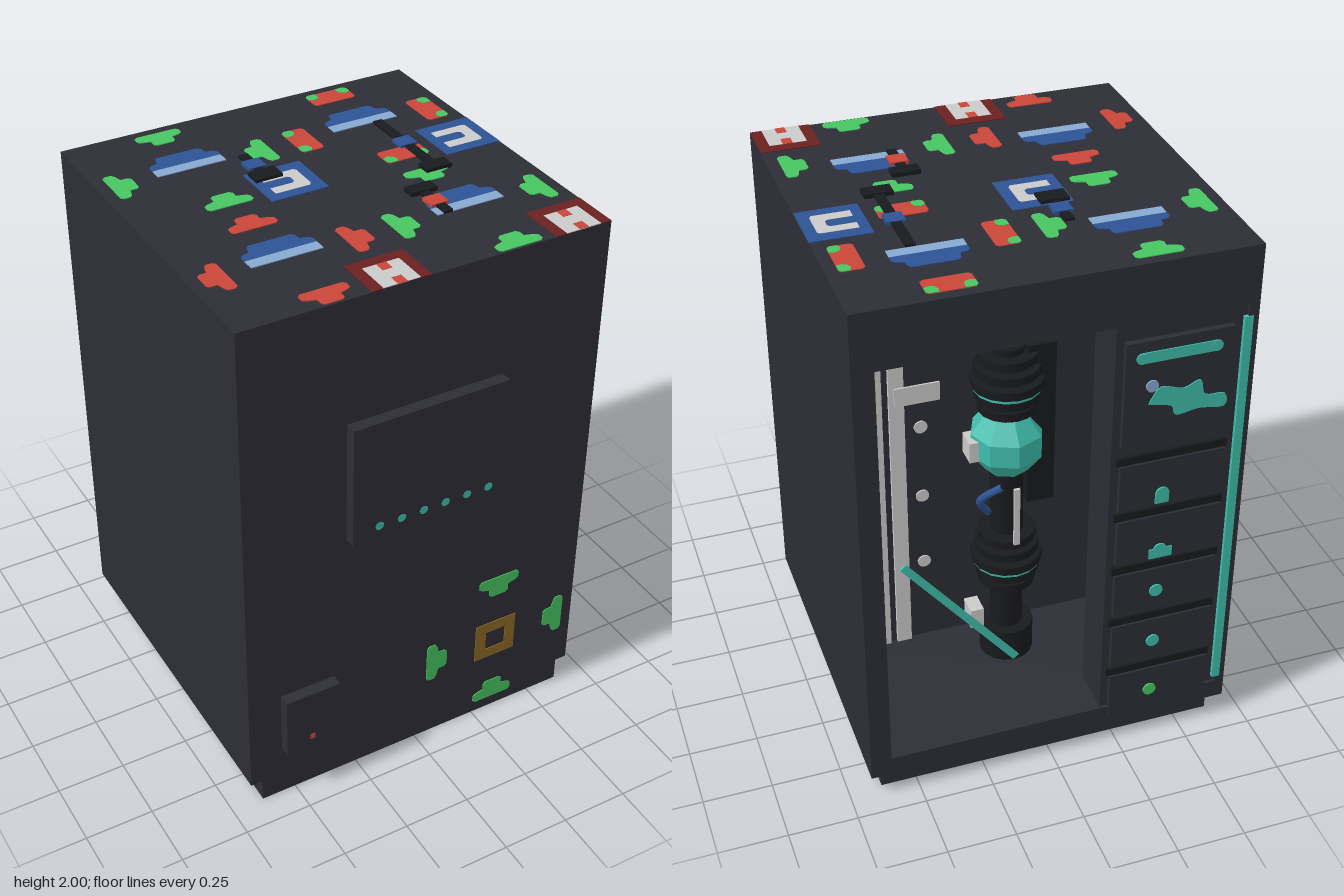
import * as THREE from 'three';

const mat = (name, color, side = THREE.FrontSide) => {
  const m = new THREE.MeshStandardMaterial({ color, side });
  m.name = name;
  return m;
};

export function createModel() {
  const root = new THREE.Group();
  root.name = 'machineCabinet';
  const M = {
    body: mat('charcoal', 0x2d2e36), black: mat('black', 0x191a1d), green: mat('green', 0x47c662),
    red: mat('red', 0xca463a), blue: mat('blue', 0x2c5394), sky: mat('lightBlue', 0x86a8d0),
    grey: mat('lightGrey', 0xcacaca), maroon: mat('darkRed', 0x6b2020), teal: mat('teal', 0x3fbdab),
    ochre: mat('ochre', 0x8c6a24),
  };
  const add = (name, geo, m, parent = root) => {
    const mesh = new THREE.Mesh(geo, m);
    mesh.name = name;
    parent.add(mesh);
    return mesh;
  };
  // Box given by its extents
  const box = (name, m, x0, x1, y0, y1, z0, z1, parent = root) => {
    const g = new THREE.BoxGeometry(x1 - x0, y1 - y0, z1 - z0);
    g.translate((x0 + x1) / 2, (y0 + y1) / 2, (z0 + z1) / 2);
    return add(name, g, m, parent);
  };
  const poly = (pts) => new THREE.Shape(pts.map((p) => new THREE.Vector2(p[0], p[1])));
  const rect = (x0, x1, y0, y1) => poly([[x0, y0], [x1, y0], [x1, y1], [x0, y1]]);
  const plate = (shape, depth) => new THREE.ExtrudeGeometry(shape, { depth, bevelEnabled: false, curveSegments: 8 });

  // Cabinet: solid front, hollow rear with an opening, base plinth
  const H = 1.985, BACK = -0.67, FRONT = 0.64, WALL = -0.07;
  box('cabinetFront', M.body, -0.675, 0.675, 0.09, H, WALL, FRONT);
  const frame = rect(-0.675, 0.675, 0.09, H);
  frame.holes.push(rect(-0.64, 0.6, 0.165, 1.773));
  const shell = plate(frame, WALL - BACK);
  shell.translate(0, 0, BACK);
  add('cabinetShell', shell, M.body);
  box('basePlinth', M.body, -0.63, 0.63, 0, 0.09, -0.625, FRONT);

  // Front screen and switch box with indicator lights
  box('frontScreen', M.body, -0.295, 0.29, 1.06, 1.525, FRONT, 0.683);
  for (let i = 0; i < 6; i++) {
    const g = new THREE.CircleGeometry(0.017, 8);
    g.translate(-0.195 + i * 0.085, 1.11, 0.685);
    add('screenLight', g, M.teal);
  }
  box('switchBox', M.body, -0.55, -0.34, 0.215, 0.465, FRONT, 0.683);
  box('switchLight', M.red, -0.46, -0.44, 0.255, 0.275, 0.683, 0.686);

  // Painted markings: laid flat on the roof, or upright on the front
  const roof = new THREE.Group();
  roof.name = 'roofMarkings';
  roof.rotation.x = -Math.PI / 2;
  roof.position.y = H;
  root.add(roof);
  const front = new THREE.Group();
  front.name = 'frontMarkings';
  front.position.z = FRONT;
  root.add(front);
  const mark = (name, shape, m, parent = roof, lift = 0) => {
    const mesh = add(name, plate(shape, 0.003), m, parent);
    mesh.position.z = lift;
    return mesh;
  };
  // Roof rectangle in world x and z
  const roofRect = (name, m, x0, x1, z0, z1, lift = 0) => mark(name, rect(x0, x1, -z1, -z0), m, roof, lift);

  // Stepped hat marker, wide edge at v = 0, tip at v = 0.085
  const half = [[0.073, 0], [0.083, 0.01], [0.083, 0.033], [0.07, 0.042], [0.04, 0.05], [0.04, 0.075], [0.03, 0.085]];
  const hat = poly([...half, ...half.map(([x, y]) => [-x, y]).reverse()]);
  // Four hats around a centre, pointing in or out
  const ring = (m, cx, cy, inward, parent = roof) => {
    for (let i = 0; i < 4; i++) {
      const a = (i * Math.PI) / 2, r = inward ? 0.295 : 0.21;
      const mesh = mark('hatMarker', hat, m, parent);
      mesh.position.set(cx + Math.cos(a) * r, cy + Math.sin(a) * r, 0);
      mesh.rotation.z = a + (inward ? Math.PI / 2 : -Math.PI / 2);
    }
  };
  const C = 0.337;
  ring(M.green, -C, C, true);
  ring(M.red, -C, -C, false);
  ring(M.green, C, -C, true);
  ring(M.green, C, 0.34, true, front);

  // Red blocks with green outer corners
  const block = poly([[-0.083, 0.01], [-0.073, 0], [0.073, 0], [0.083, 0.01], [0.083, 0.075], [0.073, 0.085], [-0.073, 0.085], [-0.083, 0.075]]);
  const corner = poly([[0.073, 0], [0.083, 0.01], [0.083, 0.035], [0.065, 0.043], [0.047, 0.035], [0.04, 0.02], [0.043, 0]]);
  for (let i = 0; i < 4; i++) {
    const g = new THREE.Group();
    const a = (i * Math.PI) / 2;
    g.name = 'cornerBlock';
    g.position.set(C + Math.cos(a) * 0.295, C + Math.sin(a) * 0.295, 0);
    g.rotation.z = a + Math.PI / 2;
    roof.add(g);
    mark('blockFace', block, M.red, g);
    mark('blockCorner', corner, M.green, g, 0.001);
    const other = mark('blockCorner', poly(corner.getPoints().map((p) => [-p.x, p.y]).reverse()), M.green, g, 0.001);
    other.name = 'blockCornerMirrored';
  }

  // Blue trays with a pale front edge
  for (const x of [-C, C]) for (const z of [-0.46, 0.215]) {
    const s = [[0.127, -0.08], [0.127, -0.055], [0.115, -0.043], [0.09, -0.037], [0.085, -0.01], [0.075, 0]];
    mark('tray', poly([...s, ...s.map(([u, v]) => [-u, v]).reverse()]), M.blue).position.set(x, -z, 0);
    roofRect('trayEdge', M.sky, x - 0.127, x + 0.127, z + 0.08, z + 0.124);
  }

  // Blue and dark red square pads with pale symbols
  for (const x of [-0.212, 0.462]) {
    roofRect('bluePad', M.blue, x, x + 0.212, -0.208, 0);
    mark('padHook', poly([[0.035, -0.045], [0.165, -0.045], [0.172, -0.055], [0.172, -0.155], [0.165, -0.168],
      [0.035, -0.168], [0.035, -0.128], [0.12, -0.128], [0.13, -0.118], [0.13, -0.09], [0.12, -0.082], [0.035, -0.082]]
      .map(([u, v]) => [x + u, 0.208 + v]).reverse()), M.grey, roof, 0.001);
    roofRect('redPad', M.maroon, x, x + 0.212, 0.467, FRONT);
    roofRect('padFace', M.grey, x + 0.04, x + 0.172, 0.51, FRONT, 0.001);
    roofRect('padNotch', M.red, x + 0.09, x + 0.125, 0.51, 0.55, 0.002);
    roofRect('padNotch', M.red, x + 0.09, x + 0.125, 0.6, FRONT, 0.002);
  }

  // Small sliders on the roof: rod, collar, head
  const slider = (m, x, rod, collar, head) => {
    box('sliderRod', M.black, x - 0.017, x + 0.017, H, 1.995, ...rod);
    box('sliderCollar', m, x - 0.032, x + 0.032, H, 1.998, ...collar);
    box('sliderHead', M.black, x - 0.05, x + 0.05, H, 2, ...head);
  };
  slider(M.blue, -0.15, [-0.33, -0.15], [-0.28, -0.22], [-0.2, -0.135]);
  slider(M.blue, 0.38, [-0.33, 0.06], [-0.175, -0.115], [0.025, 0.08]);
  slider(M.red, 0.25, [0.16, 0.34], [0.23, 0.29], [0.145, 0.195]);

  // Ochre frame on the front
  const ochre = rect(0.25, 0.42, 0.258, 0.424);
  ochre.holes.push(rect(0.295, 0.377, 0.3, 0.38));
  mark('squareFrame', ochre, M.ochre, front);

  // Rear control column with display and five drawers
  box('controlColumn', M.body, -0.64, -0.187, 0.165, 1.773, -0.66, -0.49);
  box('controlDisplay', M.body, -0.59, -0.215, 1.31, 1.71, -0.68, -0.66);
  const drawers = [0.13, 0.36, 0.59, 0.82, 1.05];
  for (const y of drawers) {
    box('drawer', M.body, -0.59, -0.215, y, y + 0.185, -0.68, -0.66);
    box('drawerShadowGap', M.black, -0.6, -0.205, y + 0.185, y + 0.215, -0.672, -0.66);
  }
  const lamp = (name, m, x, y, r, z = -0.683) => {
    const g = new THREE.CylinderGeometry(r, r, 0.006, 14);
    g.rotateX(Math.PI / 2);
    g.translate(x, y, z);
    add(name, g, m);
  };
  lamp('drawerLamp', M.green, -0.37, 0.217, 0.025);
  lamp('drawerLamp', M.teal, -0.37, 0.45, 0.025);
  lamp('drawerLamp', M.teal, -0.37, 0.68, 0.025);
  box('drawerIcon', M.teal, -0.42, -0.335, 0.825, 0.865, -0.684, -0.68);
  lamp('drawerIconTop', M.teal, -0.375, 0.86, 0.025);
  box('drawerIcon', M.teal, -0.395, -0.345, 1.06, 1.1, -0.684, -0.68);
  lamp('drawerIconTop', M.teal, -0.37, 1.1, 0.025);
  box('displayBar', M.teal, -0.53, -0.27, 1.63, 1.67, -0.684, -0.68);
  lamp('displayBarEnd', M.teal, -0.27, 1.65, 0.02);
  lamp('displayBarEnd', M.teal, -0.53, 1.65, 0.02);
  const blob = plate(new THREE.Shape(new THREE.SplineCurve([[-0.3, 1.47], [-0.34, 1.53], [-0.42, 1.51], [-0.48, 1.53],
    [-0.5, 1.47], [-0.57, 1.46], [-0.57, 1.41], [-0.48, 1.42], [-0.4, 1.41], [-0.38, 1.45], [-0.3, 1.47]]
    .map((p) => new THREE.Vector2(...p))).getPoints(40)), 0.004);
  blob.translate(0, 0, -0.684);
  add('displayCurve', blob, M.teal);
  lamp('displayDot', M.sky, -0.31, 1.54, 0.022);
  box('edgeLight', M.teal, -0.655, -0.625, 0.19, 1.73, -0.674, -0.66);

  // Door plane: label plate, handle and slanted bar
  box('labelPlate', M.grey, 0.4, 0.545, 1.64, 1.705, -0.682, -0.676);
  box('doorHandle', M.grey, 0.135, 0.155, 1.01, 1.235, -0.682, -0.672);
  const bar = add('slantedBar', new THREE.BoxGeometry(0.026, 0.63, 0.008), M.teal);
  bar.position.set(0.34, 0.765, -0.677);
  bar.rotation.z = -Math.atan2(0.39, 0.49);

  // Interior: ceiling light, rails and bolts on the inner wall
  box('ceilingLight', M.teal, -0.187, 0.58, 1.755, 1.773, -0.525, -0.5);
  for (const x of [0.43, 0.35]) box('wallRail', M.grey, x, x + 0.055, 0.165, 1.773, -0.085, WALL);
  for (const x of [0.55, 0.29]) for (let i = 0; i < 5; i++) lamp('wallBolt', M.grey, x, 0.52 + i * 0.3, 0.025, -0.075);

  // Robot arm standing in the chamber
  const arm = new THREE.Group();
  arm.name = 'robotArm';
  arm.position.set(0.02, 0, -0.22);
  root.add(arm);
  const cyl = (name, m, r, y, h, n = 16) => {
    const g = new THREE.CylinderGeometry(r, r, h, n);
    g.translate(0, y, 0);
    return add(name, g, m, arm);
  };
  cyl('armBase', M.black, 0.1, 0.23, 0.13);
  cyl('armPost', M.black, 0.06, 0.85, 1.3);
  for (const y of [0.61, 1.36]) {
    for (let i = -2; i <= 2; i++) cyl('bellowsRib', M.black, 0.13 - Math.abs(i) * 0.012, y + i * 0.05, 0.032);
    cyl('bellowsBand', M.teal, 0.122, y - 0.025, 0.012);
  }
  const joint = new THREE.SphereGeometry(0.14, 8, 5);
  joint.translate(0, 1.11, 0);
  add('shoulderJoint', joint.toNonIndexed(), M.teal, arm).geometry.computeVertexNormals();
  for (const y of [0.35, 1.1]) box('jointCap', M.grey, 0.1, 0.15, y - 0.04, y + 0.04, -0.04, 0.04, arm);
  box('forearm', M.black, -0.16, -0.06, 0.85, 1.5, -0.05, 0.05, arm);
  box('wristBlock', M.grey, -0.15, -0.04, 1.57, 1.68, -0.05, 0.05, arm);
  box('gripper', M.blue, -0.19, -0.05, 1.69, 1.72, -0.02, 0.02, arm);
  const hose = new THREE.CatmullRomCurve3([[0.09, 0.85, -0.06], [0.13, 0.93, -0.09], [0.06, 1, -0.13]].map((p) => new THREE.Vector3(...p)));
  add('hose', new THREE.TubeGeometry(hose, 10, 0.014, 6), M.blue, arm);

  return root;
}
